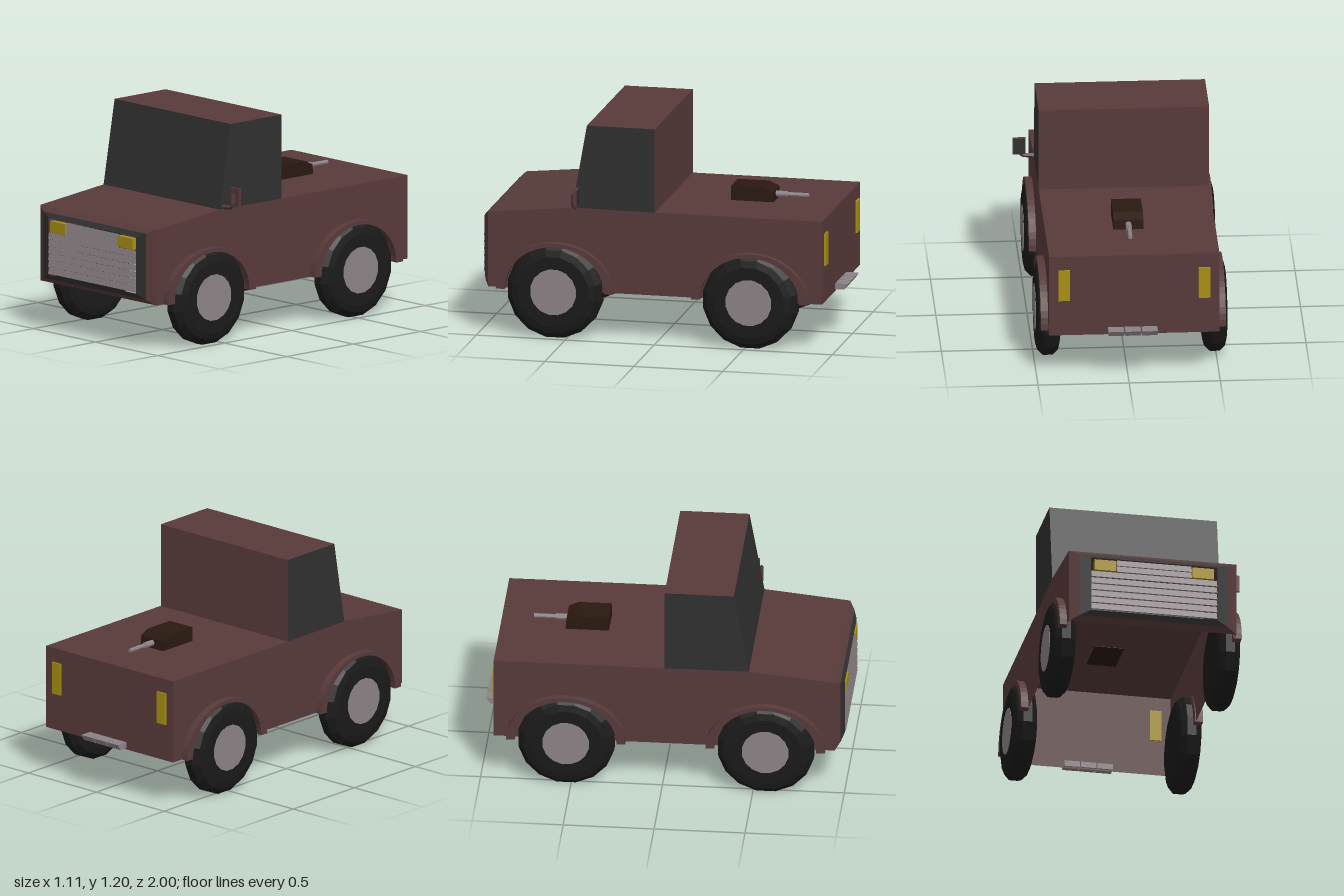
import * as THREE from 'three';

const mat = (color, side = THREE.FrontSide) =>
  new THREE.MeshStandardMaterial({ color, side, flatShading: true });
const paint = mat(0x583a3a, THREE.DoubleSide);
const dark = mat(0x303030, THREE.DoubleSide);
const rubber = mat(0x1a1a1a);
const metal = mat(0x8c8285);
const yellow = mat(0xa89012);
const gunBrown = mat(0x2a1810);

const CX = -0.033;              // centre line of the body
const L = 0.435, R = -0.5;      // body sides

export function createModel() {
  const model = new THREE.Group();

  const add = (name, geometry, material, parent = model) => {
    const mesh = new THREE.Mesh(geometry, material);
    mesh.name = name;
    parent.add(mesh);
    return mesh;
  };
  // box given by its lower and upper corner
  const box = (name, a, b, material, parent) => {
    const m = add(name, new THREE.BoxGeometry(b[0] - a[0], b[1] - a[1], b[2] - a[2]), material, parent);
    m.position.set((a[0] + b[0]) / 2, (a[1] + b[1]) / 2, (a[2] + b[2]) / 2);
    return m;
  };
  // sheet made of flat convex polygons, corners counter-clockwise from outside
  const sheet = (name, polygons, material) => {
    const pos = [];
    for (const p of polygons)
      for (let i = 1; i < p.length - 1; i++) pos.push(...p[0], ...p[i], ...p[i + 1]);
    const g = new THREE.BufferGeometry();
    g.setAttribute('position', new THREE.Float32BufferAttribute(pos, 3));
    g.computeVertexNormals();
    return add(name, g, material);
  };
  // sheet across the full width between two (z, y) points
  const across = ([z0, y0], [z1, y1]) => [[R, y0, z0], [L, y0, z0], [L, y1, z1], [R, y1, z1]];
  // left and right wall with the same (z, y) outline
  const sides = (outline) => [
    outline.map(([z, y]) => [L, y, z]),
    outline.map(([z, y]) => [R, y, z]).reverse(),
  ];

  // body shell, open underneath and below the cab
  const noseTop = [0.947, 0.685], noseLow = [0.947, 0.263], cowl = [0.475, 0.733];
  const deckFront = [0.012, 0.73], deckBack = [-0.928, 0.73], backLow = [-0.928, 0.263];
  sheet('bodySides', sides([noseLow, backLow, deckBack, deckFront, cowl, noseTop]), paint);
  sheet('hood', [across(noseTop, cowl)], paint);
  sheet('deck', [across(deckFront, deckBack)], paint);
  sheet('tailPanel', [across(deckBack, backLow)], paint);

  // cab
  const roofFront = [0.393, 1.2], roofBack = [0.012, 1.2];
  sheet('windshield', [across(cowl, roofFront)], dark);
  sheet('sideWindows', sides([cowl, deckFront, roofBack, roofFront]), dark);
  sheet('roof', [across(roofFront, roofBack)], paint);
  sheet('cabBack', [across(roofBack, deckFront)], paint);

  // tapered nose in two rings around the open grille
  const ring = (x0, x1, y0, y1, z) => [[x0, y0, z], [x1, y0, z], [x1, y1, z], [x0, y1, z]];
  const between = (a, b) => a.map((p, i) => [p, a[(i + 1) % 4], b[(i + 1) % 4], b[i]]);
  const outer = ring(R, L, 0.263, 0.685, 0.947);
  const middle = ring(-0.445, 0.38, 0.29, 0.66, 0.975);
  const inner = ring(-0.385, 0.32, 0.318, 0.635, 0.993);
  sheet('noseFrame', between(outer, middle), paint);
  sheet('grilleFrame', between(middle, inner), dark);

  // grille slats and headlights
  const slat = (x0, x1, y) => {
    const s = box('grilleSlat', [x0, y - 0.018, 0.987], [x1, y + 0.018, 0.995], metal);
    s.rotation.x = -0.2;
  };
  for (let i = 0; i < 6; i++) slat(-0.383, 0.318, 0.342 + i * 0.039);
  for (let i = 0; i < 2; i++) slat(-0.24, 0.176, 0.575 + i * 0.036);
  for (const s of [-1, 1]) {
    const x = CX + s * 0.272;
    box('headlight', [x - 0.061, 0.56, 0.97], [x + 0.061, 0.622, 1.0], yellow);
  }

  // tail lights
  for (const s of [-1, 1]) {
    const x = CX + s * 0.385;
    box('tailLight', [x - 0.032, 0.47, -0.938], [x + 0.032, 0.65, -0.92], yellow);
  }

  // rear step in three pieces, its end slanted
  for (let i = -1; i <= 1; i++) {
    const step = box('rearStep', [-0.066 + i * 0.092, 0.272, -1.0], [0.02 + i * 0.092, 0.305, -0.92], metal);
    const p = step.geometry.attributes.position;
    for (let k = 0; k < p.count; k++)
      if (p.getZ(k) < 0 && p.getY(k) < 0) p.setZ(k, p.getZ(k) + 0.022);
    step.geometry.computeVertexNormals();
  }

  // wheels with a disc on the outer face, and the arches over them
  const tyreProfile = [[0, -0.065], [0.2, -0.065], [0.238, -0.055], [0.268, -0.025],
    [0.268, 0.025], [0.238, 0.055], [0.2, 0.065], [0, 0.065]].map(([r, y]) => new THREE.Vector2(r, y));
  const tyreGeo = new THREE.LatheGeometry(tyreProfile, 16, Math.PI / 16).rotateZ(-Math.PI / 2);
  const hubGeo = new THREE.CylinderGeometry(0.13, 0.13, 0.01, 16, 1, false, Math.PI / 16).rotateZ(-Math.PI / 2);
  const arch = new THREE.Shape();
  arch.moveTo(0.328, 0);
  arch.absellipse(0, 0, 0.328, 0.272, 0, Math.PI, false);
  arch.lineTo(-0.28, 0);
  arch.absellipse(0, 0, 0.28, 0.25, Math.PI, 0, true);
  arch.closePath();
  const archGeo = new THREE.ExtrudeGeometry(arch, { depth: 0.045, bevelEnabled: false, curveSegments: 12 })
    .rotateY(Math.PI / 2);
  for (const [axle, z] of [['front', 0.57], ['rear', -0.527]])
    for (const s of [-1, 1]) {
      const wheel = new THREE.Group();
      wheel.name = axle + 'Wheel';
      wheel.position.set(CX + s * 0.458, 0.263, z);
      wheel.rotation.y = s > 0 ? 0 : Math.PI;
      add('tyre', tyreGeo, rubber, wheel);
      add('hub', hubGeo, metal, wheel).position.x = 0.062;
      model.add(wheel);
      const fender = add(axle + 'Fender', archGeo, paint);
      fender.position.set(s > 0 ? L - 0.005 : R - 0.04, 0.263, z - 0.002);
    }

  // wing mirror on a bent arm
  const mirror = new THREE.Group();
  mirror.name = 'wingMirror';
  model.add(mirror);
  const path = new THREE.CurvePath();
  const bend = [[0.43, 0.745], [0.498, 0.75], [0.517, 0.775], [0.517, 0.83]]
    .map(([x, y]) => new THREE.Vector3(x, y, 0.45));
  for (let i = 0; i < 3; i++) path.add(new THREE.LineCurve3(bend[i], bend[i + 1]));
  add('mirrorArm', new THREE.TubeGeometry(path, 12, 0.013, 4), paint, mirror);
  box('mirrorShell', [0.482, 0.765, 0.425], [0.553, 0.86, 0.44], paint, mirror);
  box('mirrorGlass', [0.486, 0.769, 0.421], [0.549, 0.856, 0.426], dark, mirror);

  // deck gun pointing backwards
  const gun = new THREE.Group();
  gun.name = 'deckGun';
  gun.position.x = -0.022;
  model.add(gun);
  const side = new THREE.Shape([[0.33, 0.728], [0.57, 0.728], [0.565, 0.785], [0.51, 0.81], [0.33, 0.81]]
    .map(([z, y]) => new THREE.Vector2(z, y)));
  add('gunHousing', new THREE.ExtrudeGeometry(side, { depth: 0.165, bevelEnabled: false })
    .rotateY(Math.PI / 2).translate(-0.0825, 0, 0), gunBrown, gun);
  for (const [r, z0, z1] of [[0.017, -0.63, -0.55], [0.012, -0.75, -0.62]]) {
    const barrel = add('gunBarrel', new THREE.CylinderGeometry(r, r, z1 - z0, 8).rotateX(Math.PI / 2), metal, gun);
    barrel.position.set(0, 0.76, (z0 + z1) / 2);
  }

  return model;
}
